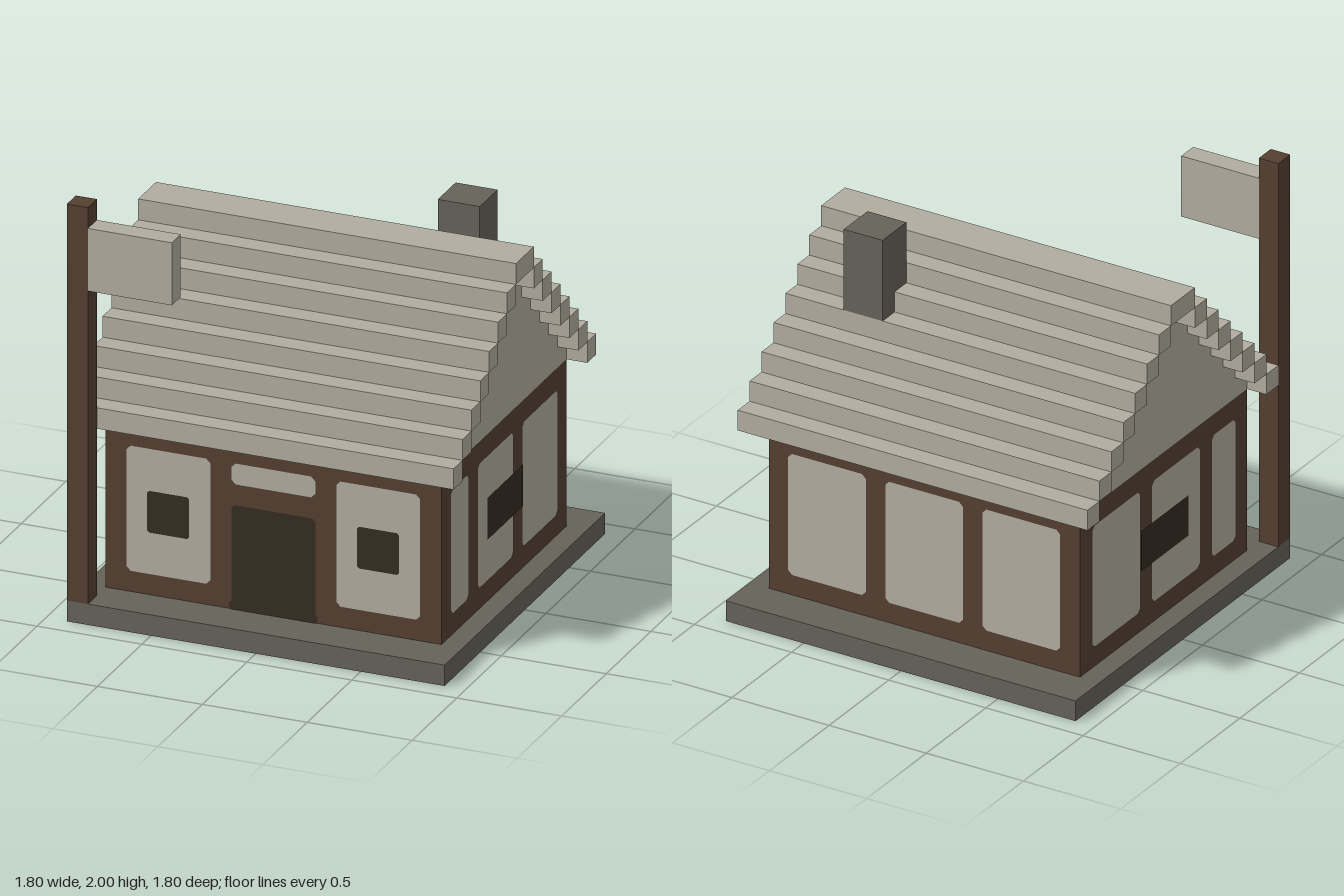
import * as THREE from 'three';

const mat = (name, hex) => {
  const m = new THREE.MeshStandardMaterial({ color: hex });
  m.name = name;
  return m;
};

export function createModel() {
  const timber = mat('brown timber', 0x553f32);
  const plaster = mat('pale plaster', 0xb1ac9f);
  const stone = mat('grey stone', 0x65625a);
  const dark = mat('dark opening', 0x352c22);

  const house = new THREE.Group();
  house.name = 'house';

  // Box given by its lower and upper bounds on each axis
  const box = (name, material, [x0, x1], [y0, y1], [z0, z1]) => {
    const mesh = new THREE.Mesh(new THREE.BoxGeometry(x1 - x0, y1 - y0, z1 - z0), material);
    mesh.position.set((x0 + x1) / 2, (y0 + y1) / 2, (z0 + z1) / 2);
    mesh.name = name;
    house.add(mesh);
  };

  // Thin plate with softened corners, facing local +z
  const plate = (parent, name, material, u0, u1, y0, y1, lift, r = 0.02) => {
    const s = new THREE.Shape();
    s.moveTo(u0 + r, y0);
    s.lineTo(u1 - r, y0);
    s.lineTo(u1, y0 + r);
    s.lineTo(u1, y1 - r);
    s.lineTo(u1 - r, y1);
    s.lineTo(u0 + r, y1);
    s.lineTo(u0, y1 - r);
    s.lineTo(u0, y0 + r);
    s.closePath();
    const mesh = new THREE.Mesh(new THREE.ShapeGeometry(s), material);
    mesh.position.z = lift;
    mesh.name = name;
    parent.add(mesh);
  };

  // One side of the house, turned to face outwards
  const wall = (name, distance, turn) => {
    const g = new THREE.Group();
    g.name = name;
    g.rotation.y = turn;
    g.position.set(Math.sin(turn) * distance, 0, Math.cos(turn) * distance);
    house.add(g);
    return g;
  };

  box('foundation', stone, [-0.9, 0.9], [0, 0.1], [-0.9, 0.9]);
  box('timberWalls', timber, [-0.8, 0.8], [0.1, 0.9], [-0.7, 0.7]);

  // Front: two windowed panels, a door and a panel above it
  const front = wall('frontWall', 0.7, 0);
  for (const c of [-0.5, 0.5]) {
    plate(front, 'frontPanel', plaster, c - 0.2, c + 0.2, 0.2, 0.8, 0.003);
    plate(front, 'frontWindow', dark, c - 0.1, c + 0.1, 0.4, 0.6, 0.006, 0.01);
  }
  plate(front, 'doorPanel', plaster, -0.2, 0.2, 0.7, 0.8, 0.003);
  plate(front, 'door', dark, -0.2, 0.2, 0.1, 0.6, 0.003, 0.015);
  plate(front, 'doorSill', dark, -0.21, 0.21, 0.1, 0.14, 0.004, 0.01);

  // Back: three plain panels
  const back = wall('backWall', 0.7, Math.PI);
  for (const c of [-0.5, 0, 0.5]) {
    plate(back, 'backPanel', plaster, c - 0.2, c + 0.2, 0.2, 0.8, 0.003);
  }

  // Sides: mirrored panels with one wide window
  for (const side of [1, -1]) {
    const g = wall(side > 0 ? 'leftWall' : 'rightWall', 0.8, side * Math.PI / 2);
    for (const [z0, z1] of [[0.4, 0.6], [-0.1, 0.3], [-0.6, -0.2]]) {
      const u = [-side * z0, -side * z1].sort((a, b) => a - b);
      plate(g, 'sidePanel', plaster, u[0], u[1], 0.2, 0.8, 0.003);
    }
    plate(g, 'sideWindow', dark, -0.2, 0.2, 0.4, 0.6, 0.006, 0.002);
  }

  // Stepped roof beams with recessed gable layers between them
  for (let k = 0; k < 7; k++) {
    const y = [0.9 + 0.1 * k, 1 + 0.1 * k];
    const inner = 0.7 - 0.1 * k;
    box('roofStepFront', plaster, [-0.9, 0.9], y, [inner, inner + 0.1]);
    box('roofStepBack', plaster, [-0.9, 0.9], y, [-inner - 0.1, -inner]);
    box('gableLayer', plaster, [-0.8, 0.8], y, [-inner, inner]);
  }
  box('roofRidge', plaster, [-0.9, 0.9], [1.6, 1.7], [-0.1, 0.1]);

  // Chimney on the back slope
  box('chimney', stone, [0.4, 0.6], [1.4, 1.8], [-0.4, -0.2]);

  // Corner pole with its hanging board
  box('pole', timber, [-0.9, -0.8], [0.1, 2], [0.8, 0.9]);
  box('signBoard', plaster, [-0.8, -0.4], [1.6, 1.9], [0.8, 0.9]);

  return house;
}
